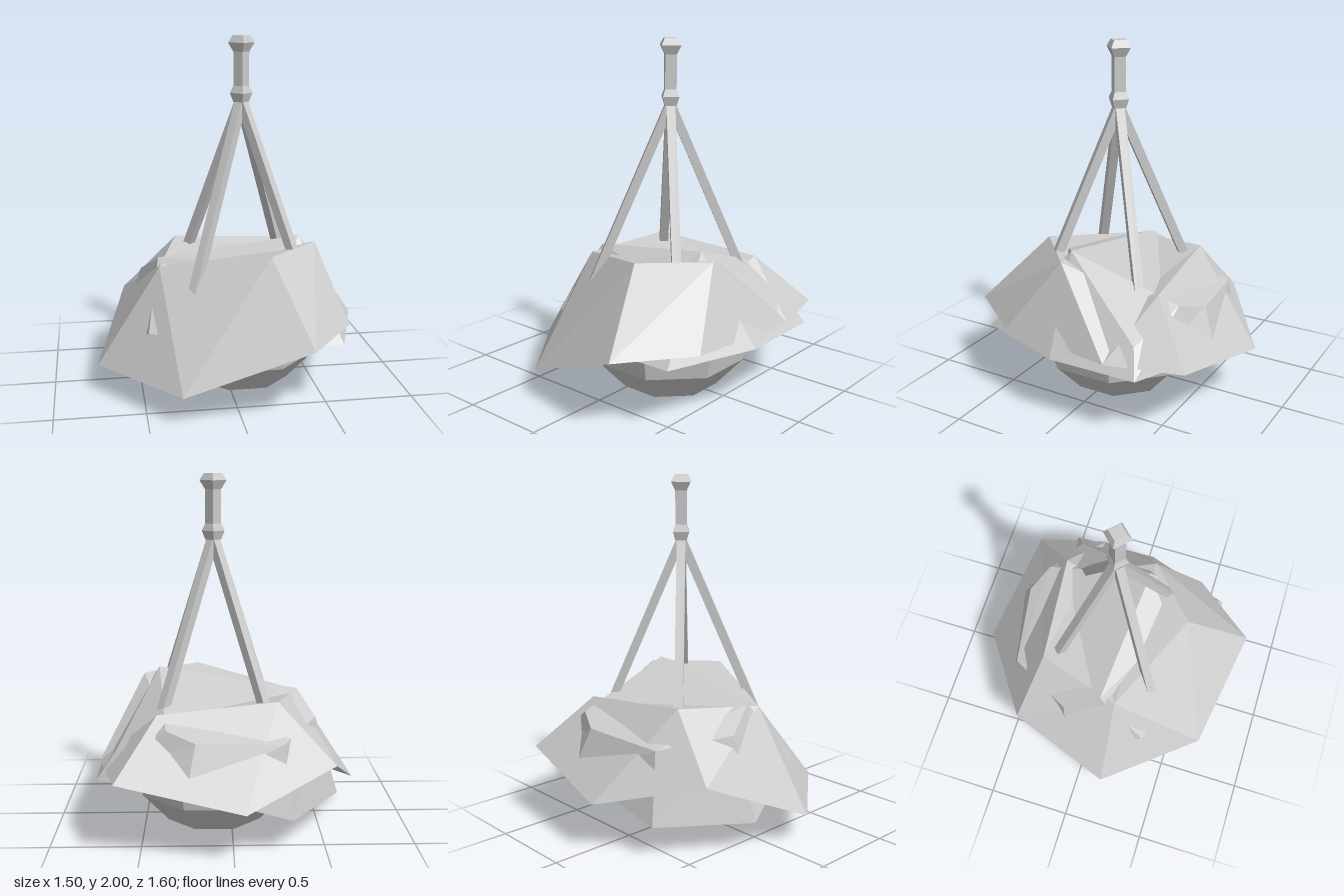
import * as THREE from 'three';

const mat = new THREE.MeshStandardMaterial({ color: 0xcccccc, flatShading: true, side: THREE.DoubleSide });
const AXIS_X = 0.1;

function add(group, name, geometry) {
  const mesh = new THREE.Mesh(geometry, mat);
  mesh.name = name;
  group.add(mesh);
  return mesh;
}

// Faceted turned shape from [radius, height] pairs
function turned(profile, sides, start = 0) {
  const pts = profile.map(([r, y]) => new THREE.Vector2(r, y));
  return new THREE.LatheGeometry(pts, sides, start).toNonIndexed();
}

// Folded leaf shell from corner points and polygons (each split into a fan)
function leafShell(points, polygons) {
  const pos = [];
  for (const p of polygons)
    for (let i = 1; i < p.length - 1; i++)
      pos.push(...points[p[0]], ...points[p[i]], ...points[p[i + 1]]);
  const g = new THREE.BufferGeometry();
  g.setAttribute('position', new THREE.Float32BufferAttribute(pos, 3));
  g.computeVertexNormals();
  return g;
}

export function createModel() {
  const model = new THREE.Group();
  model.name = 'hangingPlanter';

  // Eight-sided bowl with a lip, and the soil inside it
  const bowl = add(model, 'bowl', turned([
    [0, 0], [0.29, 0], [0.445, 0.17], [0.49, 0.37], [0.54, 0.4], [0.54, 0.45], [0.47, 0.45], [0.46, 0.4], [0, 0.4],
  ], 8, Math.PI / 8));
  bowl.position.x = AXIS_X;

  // Square hanger with a flared collar at each end
  const hanger = add(model, 'hanger', turned([
    [0, 1.63], [0.045, 1.63], [0.065, 1.68], [0.045, 1.72], [0.045, 1.91], [0.076, 1.96], [0.05, 2], [0, 2],
  ], 4));
  hanger.position.x = AXIS_X;

  // Four straight cords from the hanger to the lip
  const top = new THREE.Vector3(0, 1.64, 0);
  for (let i = 0; i < 4; i++) {
    const a = Math.PI / 4 + i * Math.PI / 2;
    const end = new THREE.Vector3(Math.sin(a) * 0.535, 0.4, Math.cos(a) * 0.535);
    const cord = add(model, 'cord', new THREE.BoxGeometry(0.05, 0.05, top.distanceTo(end)));
    cord.position.copy(top).add(end).multiplyScalar(0.5);
    cord.lookAt(end);
    cord.position.x += AXIS_X;
  }

  // Large outer foliage: drooping rim (0-7), crown (8-13)
  add(model, 'outerFoliage', leafShell([
    [-0.75, 0.16, 0.16], [-0.32, 0.16, 0.69], [0.36, 0.42, 0.8], [0.65, 0.42, 0.42],
    [0.74, 0.42, -0.27], [0.63, 0.42, -0.69], [-0.06, 0.29, -0.8], [-0.57, 0.43, -0.44],
    [-0.39, 0.72, 0.14], [0.2, 0.83, 0.42], [0.51, 0.83, 0.13], [0.39, 0.67, -0.28],
    [-0.25, 0.77, -0.35], [0.41, 0.72, -0.42],
  ], [
    [0, 1, 8], [1, 2, 9, 8], [2, 3, 10, 9], [3, 4, 10], [4, 11, 10], [4, 13, 11], [4, 5, 13],
    [5, 6, 12, 13], [6, 7, 12], [7, 0, 8, 12], [8, 9, 10, 11, 12], [12, 11, 13],
  ]));

  // Inner foliage: rim (0-7), crown (8-15), poking through the outer layer
  add(model, 'innerFoliage', leafShell([
    [-0.47, 0.4, 0.34], [0.05, 0.38, 0.62], [0.57, 0.37, 0.59], [0.75, 0.37, 0.06],
    [0.74, 0.37, -0.46], [0.25, 0.37, -0.69], [-0.32, 0.18, -0.6], [-0.62, 0.16, -0.12],
    [-0.39, 0.75, 0.05], [0.15, 0.77, 0.33], [0.42, 0.87, 0.12], [0.36, 0.66, -0.52],
    [0.2, 0.61, -0.6], [-0.27, 0.58, -0.53], [-0.48, 0.63, -0.15], [0.64, 0.51, -0.4],
  ], [
    [0, 1, 9, 8], [1, 2, 10, 9], [2, 3, 10], [3, 4, 15], [3, 15, 10], [15, 11, 10], [4, 11, 15],
    [4, 5, 12, 11], [5, 6, 13, 12], [6, 7, 14, 13], [7, 0, 8, 14], [8, 9, 10], [8, 10, 11, 13, 14], [11, 12, 13],
  ]));

  return model;
}
